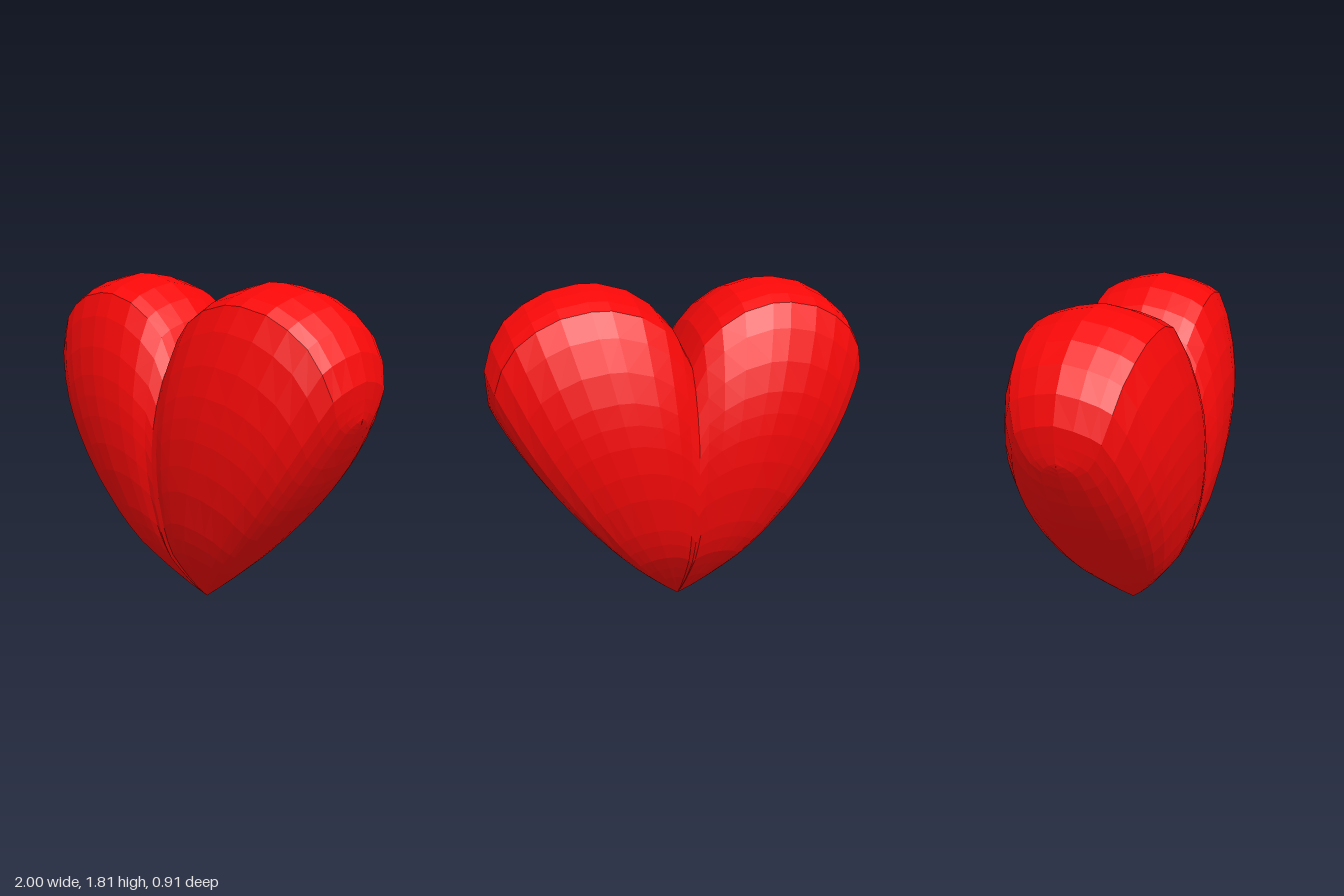
import * as THREE from 'three';

// Columns running from the tip up to the lobe's rim: rim x, rim y, fullness.
// They go from the outer side, over the crown, to the cleft.
const COLUMNS = [
  [0.99, 1.21, 0], [0.992, 1.225, 0.28], [0.994, 1.26, 0.45], [0.997, 1.32, 0.58],
  [1, 1.4, 0.68], [0.96, 1.53, 0.8], [0.89, 1.64, 0.87], [0.79, 1.72, 0.93],
  [0.67, 1.78, 0.97], [0.52, 1.81, 1], [0.42, 1.81, 1], [0.27, 1.77, 0.99],
  [0.15, 1.695, 0.96], [0.06, 1.6, 0.91], [0, 1.48, 0.9],
];

// Half depth along a column: fraction of the way from tip to rim, depth
const PROFILE = [
  [0, 0], [0.05, 0.085], [0.11, 0.172], [0.165, 0.245], [0.22, 0.312], [0.275, 0.355],
  [0.33, 0.388], [0.44, 0.432], [0.52, 0.449], [0.6, 0.455], [0.66, 0.451], [0.72, 0.44],
  [0.8, 0.41], [0.885, 0.36], [0.95, 0.3], [0.97, 0.235], [0.988, 0.13], [1, 0],
];

// Columns bow outward on their way up from the tip
const spread = (q) => q * (1.4 - 0.4 * q);

// One lobe: a front and a back shell, each a grid of columns and arcs
function lobeGeometry(side) {
  const positions = [], indices = [];
  const row = COLUMNS.length;
  for (const face of [1, -1]) {
    const base = positions.length / 3;
    for (const [q, depth] of PROFILE) {
      for (const [x, y, fullness] of COLUMNS) {
        positions.push(side * x * spread(q), y * q, face * depth * fullness);
      }
    }
    const tri = (a, b, c) => (side * face > 0 ? indices.push(a, b, c) : indices.push(a, c, b));
    for (let k = 0; k < PROFILE.length - 1; k++) {
      for (let i = 0; i < row - 1; i++) {
        const a = base + k * row + i, b = a + row;
        tri(a, b, b + 1);
        if (k > 0) tri(a, b + 1, a + 1);
      }
    }
  }
  const geometry = new THREE.BufferGeometry();
  geometry.setAttribute('position', new THREE.Float32BufferAttribute(positions, 3));
  geometry.setIndex(indices);
  geometry.computeVertexNormals();
  return geometry;
}

export function createModel() {
  const heart = new THREE.Group();
  heart.name = 'heart';
  const red = new THREE.MeshStandardMaterial({ color: 0xf70808, flatShading: true });
  for (const [name, side] of [['leftLobe', 1], ['rightLobe', -1]]) {
    const lobe = new THREE.Mesh(lobeGeometry(side), red);
    lobe.name = name;
    heart.add(lobe);
  }
  return heart;
}
